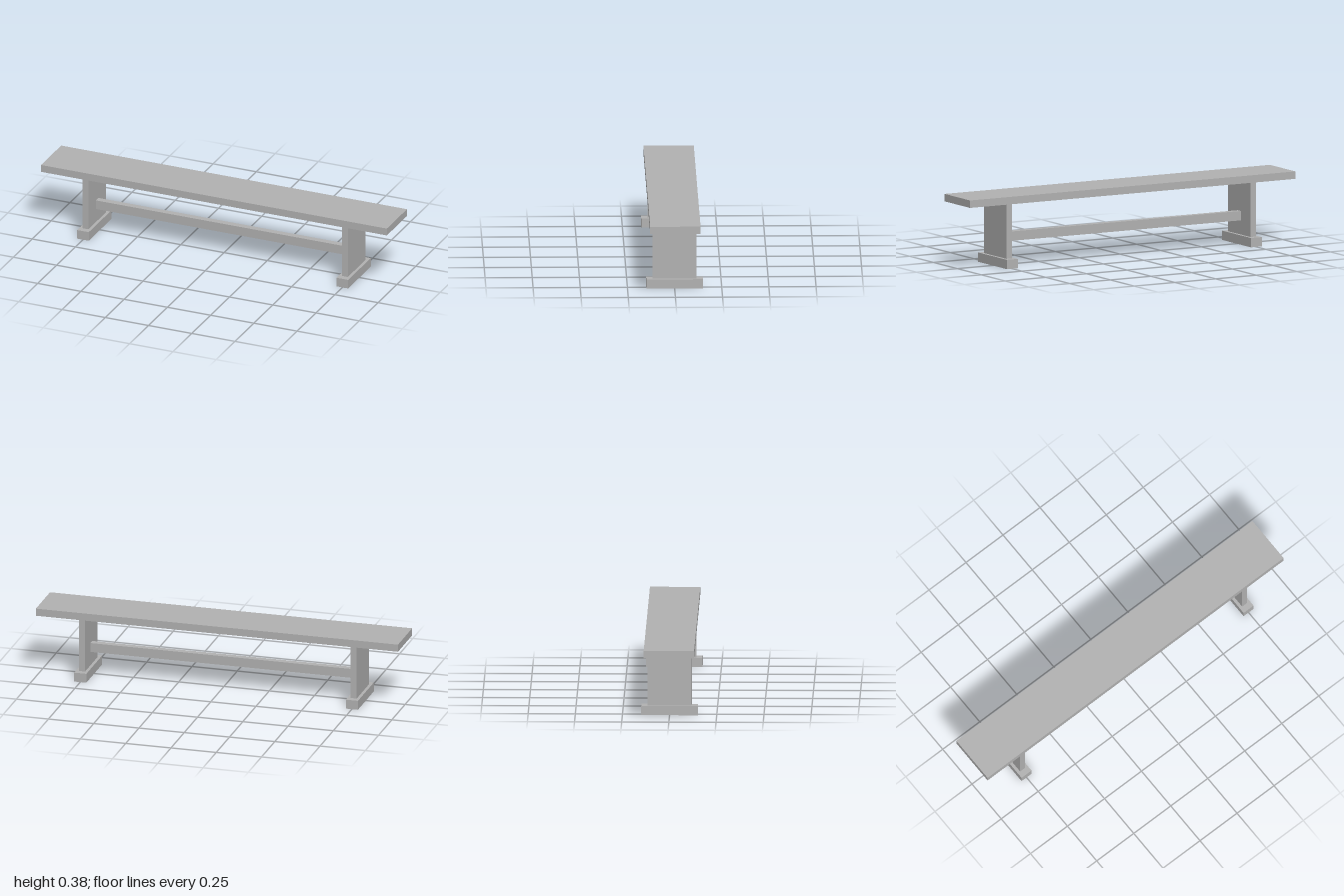
import * as THREE from 'three';

export function createModel() {
  const group = new THREE.Group();
  const grey = new THREE.MeshStandardMaterial({ color: 0xb2b2b2 });
  grey.name = 'plain grey';

  // Box standing on height y, centred on x and z = 0
  const addBox = (name, width, height, depth, x, y) => {
    const mesh = new THREE.Mesh(new THREE.BoxGeometry(width, height, depth), grey);
    mesh.name = name;
    mesh.position.set(x, y + height / 2, 0);
    group.add(mesh);
  };

  // Long plank seat
  addBox('seat', 2, 0.04, 0.267, 0, 0.343);

  // Slab legs on wider feet, one at each end
  for (const [side, sign] of [['left', 1], ['right', -1]]) {
    addBox(`${side}Leg`, 0.034, 0.293, 0.234, sign * 0.75, 0.05);
    addBox(`${side}Foot`, 0.067, 0.05, 0.3, sign * 0.75, 0);
  }

  // Rail joining the inner faces of the legs
  addBox('stretcher', 1.466, 0.05, 0.034, 0, 0.126);

  return group;
}
